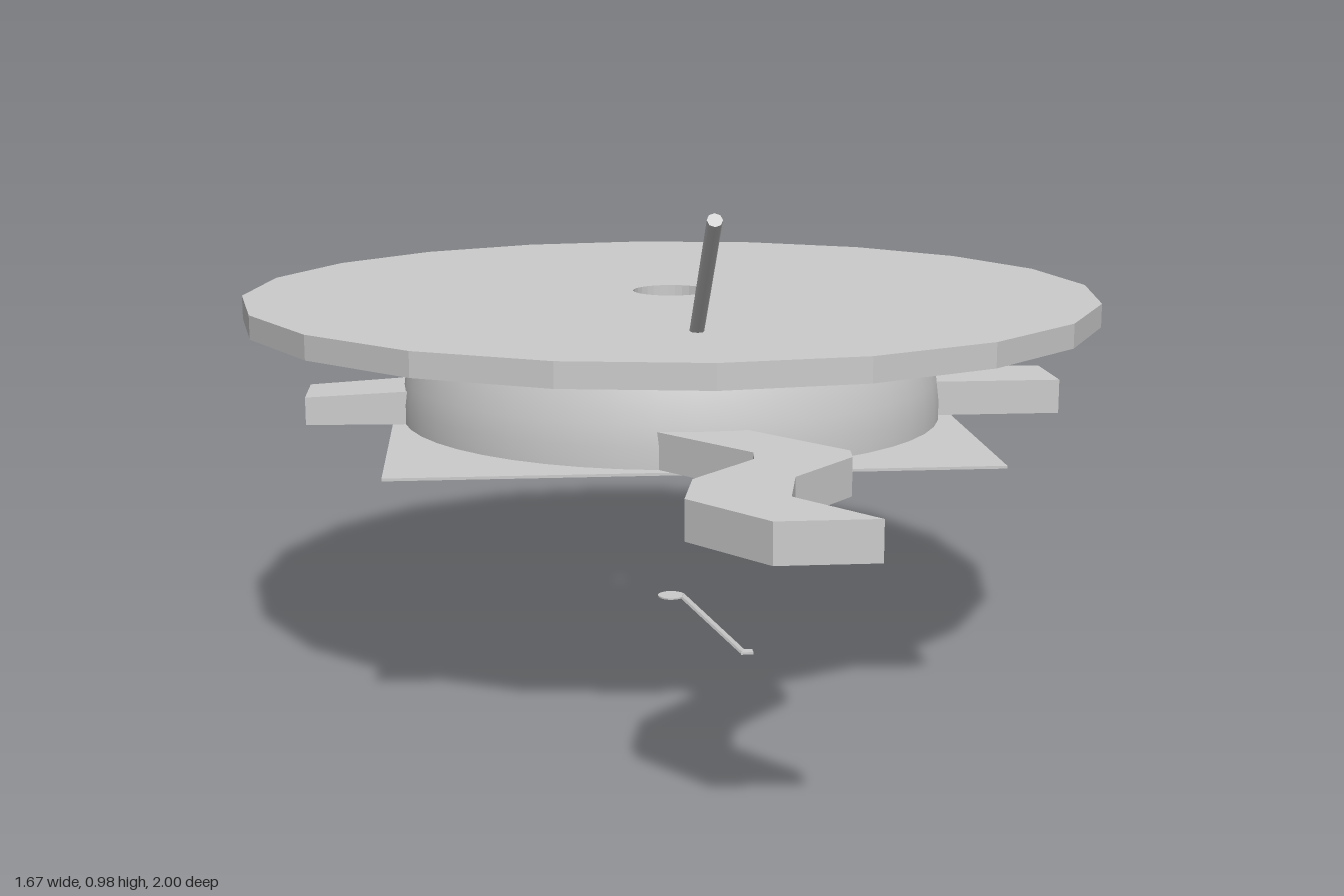
import * as THREE from 'three';

const CZ = -0.165; // z of the central axis

export function createModel() {
  const model = new THREE.Group();
  const mat = new THREE.MeshStandardMaterial({ color: 0xcccccc, side: THREE.DoubleSide });
  const V = (x, y, z) => new THREE.Vector3(x, y, z);

  const add = (name, geometry, x = 0, y = 0, z = 0) => {
    const mesh = new THREE.Mesh(geometry, mat);
    mesh.name = name;
    mesh.position.set(x, y, z);
    model.add(mesh);
    return mesh;
  };

  // Upright slab from an outline given as [x, z] points, with an optional round hole
  const slab = (points, height, holeRadius = 0) => {
    const shape = new THREE.Shape(points.map(([x, z]) => new THREE.Vector2(x, -z)));
    if (holeRadius) shape.holes.push(new THREE.Path().absarc(0, 0, holeRadius, 0, Math.PI * 2, true));
    return new THREE.ExtrudeGeometry(shape, { depth: height, bevelEnabled: false, curveSegments: 16 })
      .rotateX(-Math.PI / 2);
  };

  // Straight bar between two points
  const bar = (name, a, b, geometry) => {
    const mesh = add(name, geometry);
    mesh.position.copy(a).lerp(b, 0.5);
    mesh.quaternion.setFromUnitVectors(V(0, 1, 0), b.clone().sub(a).normalize());
    return mesh;
  };

  // Twenty-sided top disc with a centre hole
  const rim = Array.from({ length: 20 }, (_, i) => {
    const a = (i / 20) * Math.PI * 2;
    return [0.835 * Math.cos(a), 0.835 * Math.sin(a)];
  });
  add('topDisc', slab(rim, 0.045, 0.075), 0, 0.7, CZ);

  // Domed body under the disc
  const profile = [[0.53, 0.5], [0.53, 0.54], [0.525, 0.58], [0.516, 0.62], [0.504, 0.66], [0.488, 0.7]];
  add('domeBody', new THREE.LatheGeometry(profile.map(([r, y]) => new THREE.Vector2(r, y)), 48), 0, 0, CZ);

  // Thin square base plate with a round opening
  const h = 0.548;
  add('basePlate', slab([[-h, -h], [h, -h], [h, h], [-h, h]], 0.005, 0.14), 0, 0.497, CZ);

  // Zigzag front arm: one edge path, repeated at a constant offset
  const edge = [[0.21, 1], [0.095, 0.85], [0.12, 0.72], [0.235, 0.585], [0.24, 0.535], [0.08, 0.34]];
  const otherEdge = edge.map(([x, z]) => [x - 0.164, z]).reverse();
  add('frontArm', slab([...edge, ...otherEdge], 0.067), 0, 0.502, 0);

  // Side arms; the right one tapers towards its end
  add('leftArm', new THREE.BoxGeometry(0.3, 0.067, 0.165), 0.615, 0.5355, -0.158);
  const taper = new THREE.BoxGeometry(0.25, 0.067, 0.165);
  const p = taper.attributes.position;
  for (let i = 0; i < p.count; i++) {
    if (p.getX(i) < 0) {
      p.setZ(i, p.getZ(i) * 0.85);
      if (p.getY(i) > 0) p.setY(i, p.getY(i) - 0.013);
    }
  }
  taper.computeVertexNormals();
  add('rightArm', taper, -0.59, 0.5355, -0.16);

  // Slanted rod on the disc
  const rodStart = V(0, 0.735, 0.334), rodEnd = V(0, 0.967, 0.629);
  bar('rod', rodStart, rodEnd, new THREE.CylinderGeometry(0.013, 0.013, rodStart.distanceTo(rodEnd), 8));

  // Small loose clip below: round head, slanted strip and flat foot
  add('clipHead', new THREE.CylinderGeometry(0.027, 0.027, 0.003, 20), 0, 0.119, CZ);
  const a = V(0.022, 0.12, -0.157), b = V(0.143, 0.004, -0.141);
  bar('clipStrip', a, b, new THREE.BoxGeometry(0.005, a.distanceTo(b), 0.02));
  add('clipFoot', new THREE.BoxGeometry(0.026, 0.005, 0.022), 0.152, 0.0025, -0.14);

  return model;
}
